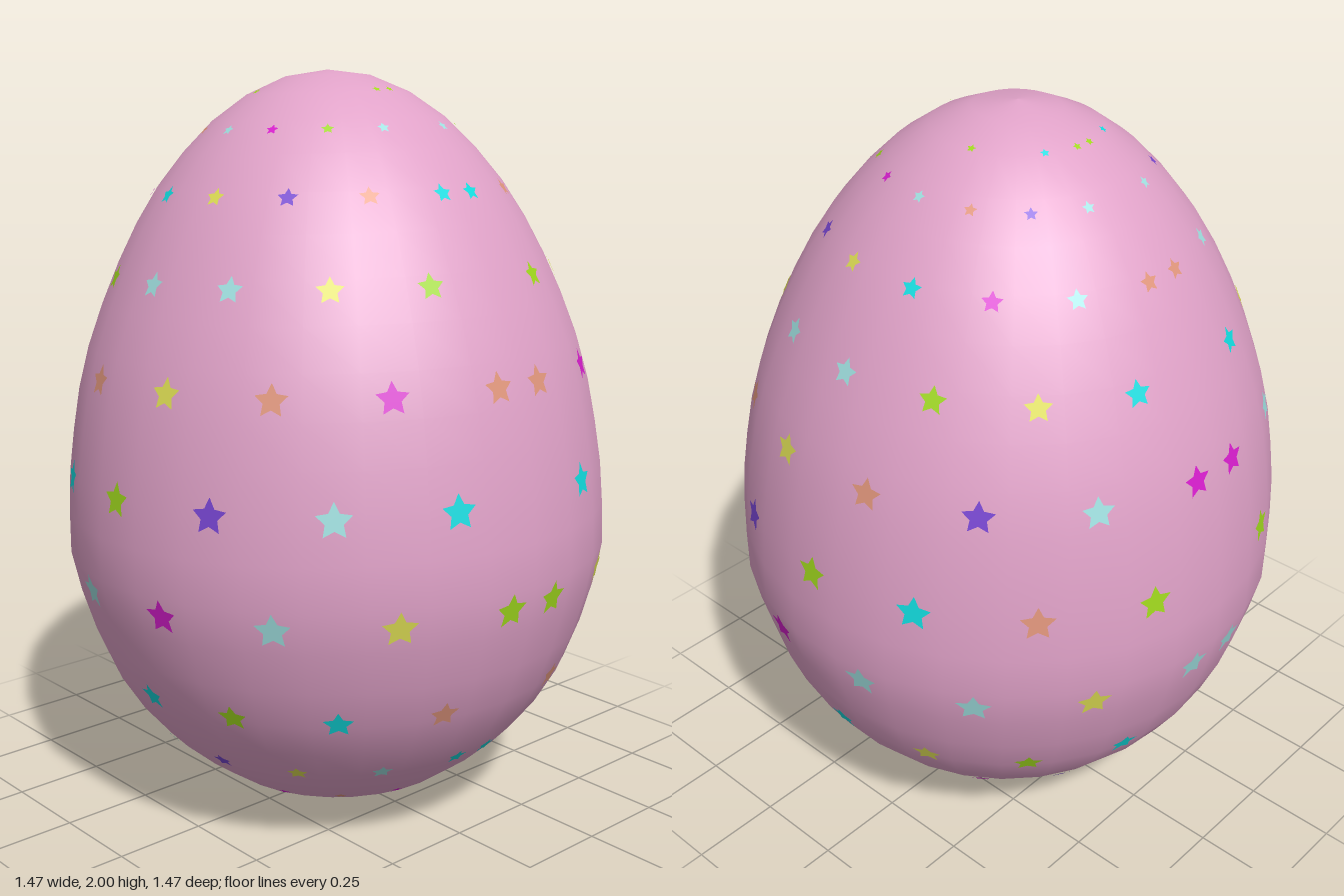
import * as THREE from 'three';
import { mergeGeometries } from 'three/addons/utils/BufferGeometryUtils.js';

const material = (name, color) => {
  const m = new THREE.MeshStandardMaterial({ color });
  m.name = name;
  return m;
};

// Egg outline from base to tip (radius, height)
const outline = new THREE.SplineCurve([
  [0, 0], [0.13, 0.01], [0.25, 0.045], [0.37, 0.112], [0.52, 0.24], [0.646, 0.425],
  [0.73, 0.69], [0.735, 0.83], [0.728, 0.96], [0.68, 1.235], [0.588, 1.48],
  [0.472, 1.69], [0.335, 1.85], [0.215, 1.94], [0.11, 1.985], [0, 2],
].map(([r, y]) => new THREE.Vector2(r, y)));
const SIDES = 30;

// Star rings: height, star radius, colour letters from +x round to -x (mirrored front/back)
const rings = [
  [1.942, 0.012, 'L...L.CL'],
  [1.848, 0.017, 'ALMAOPA'],
  [1.69, 0.027, 'COPYCMAO'],
  [1.48, 0.036, 'LYAALYC'],
  [1.235, 0.043, 'OMOYOPAM'],
  [0.96, 0.047, 'CAPLCOL'],
  [0.69, 0.048, 'LYAMAAYA'],
  [0.425, 0.041, 'OCLCYLC'],
  [0.24, 0.029, 'CAYPAMPO'],
  [0.112, 0.017, 'MOMLYCA'],
  [0.035, 0.012, 'LOCLYMAP'],
];
const colours = {
  L: ['lime', 0xa0d81e], C: ['cyan', 0x12dcdf], A: ['aqua', 0xa0e0e0], Y: ['yellow', 0xdfdf55],
  O: ['orange', 0xe0967c], M: ['magenta', 0xd81ece], P: ['purple', 0x7846d2],
};

// Flat five-pointed star with one point up
function starGeometry(radius) {
  const points = [];
  for (let i = 0; i < 10; i++) {
    const a = Math.PI / 2 + i * Math.PI / 5, r = i % 2 ? radius * 0.5 : radius;
    points.push(new THREE.Vector2(Math.cos(a) * r, Math.sin(a) * r));
  }
  return new THREE.ShapeGeometry(new THREE.Shape(points));
}

// Arc-length position on the outline at a given height
function findAtHeight(y) {
  let low = 0, high = 1;
  for (let i = 0; i < 30; i++) {
    const mid = (low + high) / 2;
    if (outline.getPointAt(mid).y < y) low = mid; else high = mid;
  }
  return low;
}

// Lay a star against the shell at a height and azimuth
function placeStar(y, size, azimuth) {
  const u = findAtHeight(y);
  const p = outline.getPointAt(u), t = outline.getTangentAt(u);
  const c = Math.cos(azimuth), s = Math.sin(azimuth);
  const up = new THREE.Vector3(t.x * c, t.y, t.x * s);
  const out = new THREE.Vector3(t.y * c, -t.x, t.y * s);
  const side = new THREE.Vector3().crossVectors(up, out);
  const r = p.x * Math.cos(Math.PI / SIDES);
  const position = new THREE.Vector3(r * c, p.y, r * s).addScaledVector(out, 0.004);
  return starGeometry(size).applyMatrix4(
    new THREE.Matrix4().makeBasis(side, up, out).setPosition(position));
}

export function createModel() {
  const egg = new THREE.Group();
  egg.name = 'egg';

  // Shell
  const profile = outline.getSpacedPoints(24);
  profile[0].x = profile[24].x = 0;
  const shell = new THREE.Mesh(
    new THREE.LatheGeometry(profile, SIDES, Math.PI / 2), material('pink', 0xe0a2c8));
  shell.name = 'shell';
  egg.add(shell);

  // Painted stars, one mesh per colour
  const stars = {};
  for (const [y, size, letters] of rings) {
    const start = letters.length === 8 ? 6 : 18;
    [...letters].forEach((letter, i) => {
      if (letter === '.') return;
      const azimuth = THREE.MathUtils.degToRad(start + 24 * i);
      for (const sign of [1, -1]) (stars[letter] ??= []).push(placeStar(y, size, sign * azimuth));
    });
  }
  for (const [letter, list] of Object.entries(stars)) {
    const [name, hex] = colours[letter];
    const mesh = new THREE.Mesh(mergeGeometries(list), material(name, hex));
    mesh.name = name + 'Stars';
    egg.add(mesh);
  }

  // Slight lean
  egg.rotation.z = 0.028;
  egg.position.x = 0.025;
  const model = new THREE.Group();
  model.name = 'decoratedEgg';
  model.add(egg);
  return model;
}
